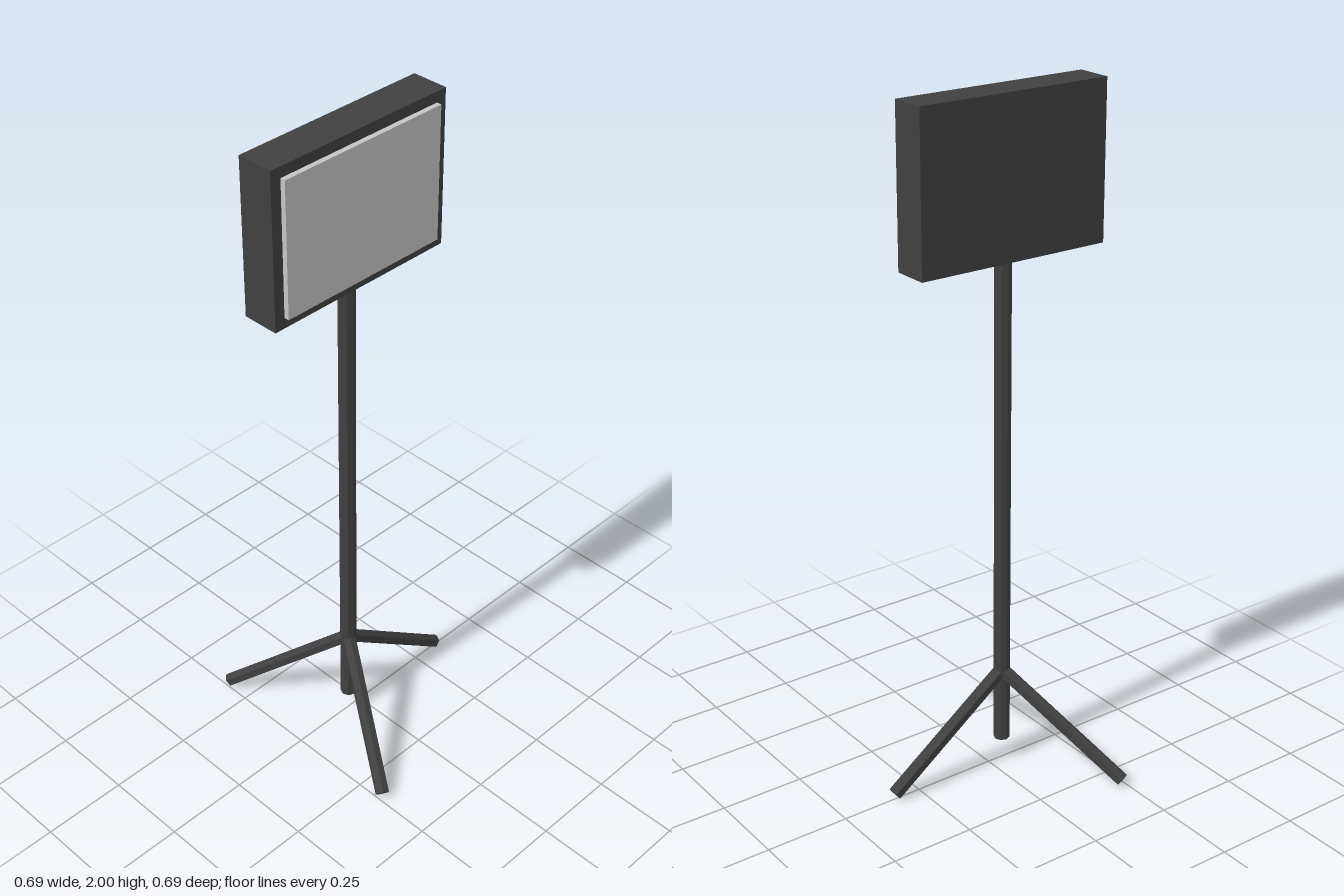
import * as THREE from 'three';

export function createModel() {
  const model = new THREE.Group();
  model.name = 'lampStand';
  const dark = new THREE.MeshStandardMaterial({ color: 0x404040, flatShading: true });
  dark.name = 'dark grey';
  const light = new THREE.MeshStandardMaterial({ color: 0xc4c4c4, flatShading: true });
  light.name = 'pale panel';

  const axisX = -0.048;
  const add = (name, geometry, material, x, y, z, parent = model) => {
    const mesh = new THREE.Mesh(geometry, material);
    mesh.name = name;
    mesh.position.set(x, y, z);
    parent.add(mesh);
    return mesh;
  };

  // Lamp housing with a raised light panel on the front
  add('housing', new THREE.BoxGeometry(0.597, 0.452, 0.108), dark, axisX, 1.774, -0.001);
  add('lightPanel', new THREE.BoxGeometry(0.534, 0.39, 0.015), light, axisX, 1.774, 0.0605);

  // Upright pole
  add('pole', new THREE.CylinderGeometry(0.024, 0.024, 1.48, 8), dark, axisX, 0.81, 0);

  // Three splayed hexagonal legs, each with an edge facing up
  const top = new THREE.Vector2(0, 0.298);
  const foot = new THREE.Vector2(0.381, 0.017);
  const run = foot.clone().sub(top);
  const legGeometry = new THREE.CylinderGeometry(0.021, 0.021, run.length(), 6);
  legGeometry.rotateY(Math.PI / 2);
  legGeometry.rotateZ(run.angle() - Math.PI / 2);
  for (let i = 0; i < 3; i++) {
    const pivot = new THREE.Group();
    pivot.name = 'legPivot' + (i + 1);
    pivot.position.x = axisX;
    pivot.rotation.y = (i * Math.PI * 2) / 3;
    add('leg' + (i + 1), legGeometry, dark, (top.x + foot.x) / 2, (top.y + foot.y) / 2, 0, pivot);
    model.add(pivot);
  }
  return model;
}
